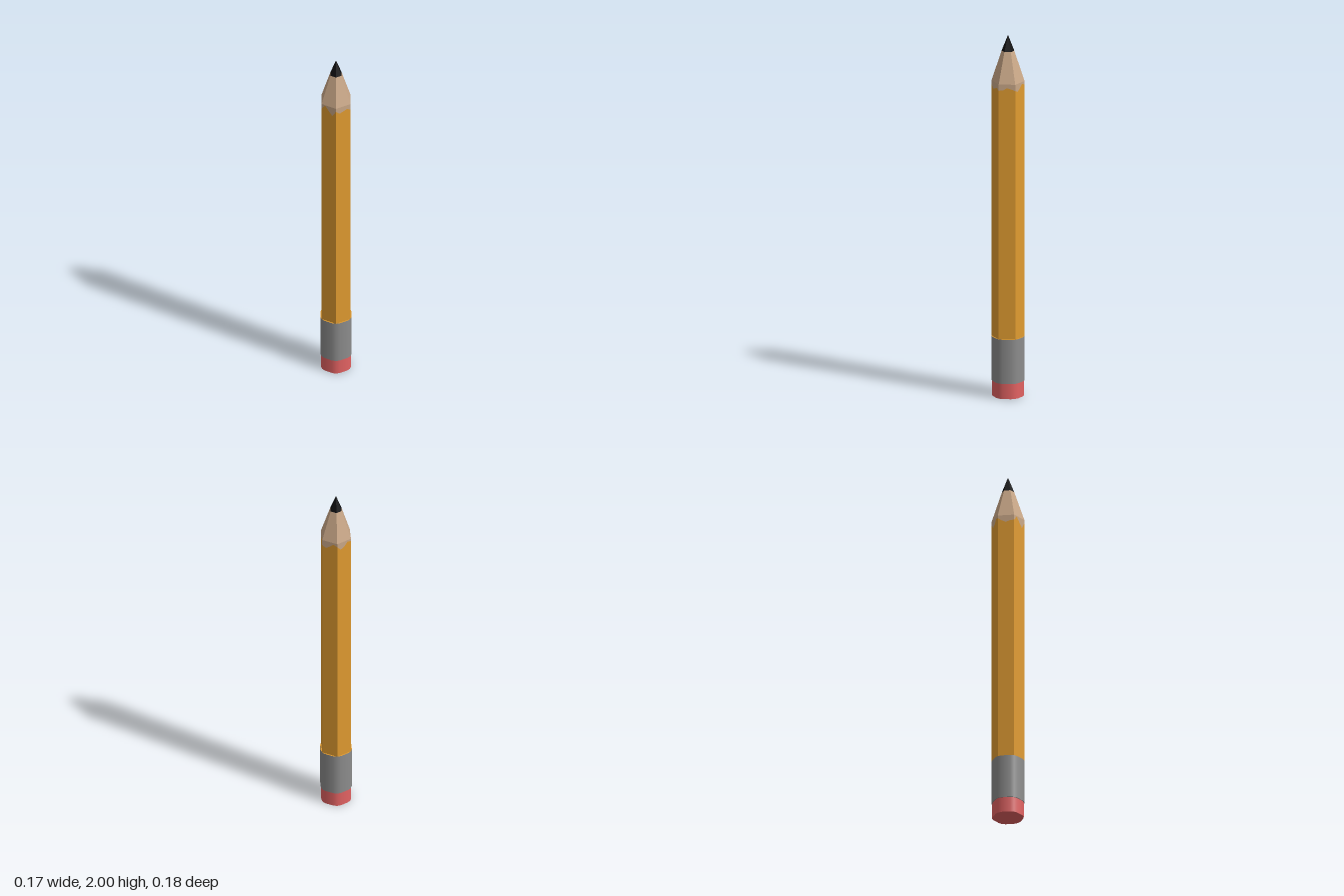
import * as THREE from 'three';

const paint = new THREE.MeshStandardMaterial({ name: 'orange paint', color: 0xe09b30 });
const wood = new THREE.MeshStandardMaterial({ name: 'bare wood', color: 0xcaa888 });
const graphite = new THREE.MeshStandardMaterial({ name: 'graphite', color: 0x0e0e10 });
const metal = new THREE.MeshStandardMaterial({ name: 'grey metal', color: 0x8c8c8c });
const rubber = new THREE.MeshStandardMaterial({ name: 'pink rubber', color: 0xe26262 });

const R = 0.0885;          // barrel corner radius
const STEPS = 4;           // points across each of the six flats
const BARREL_BOTTOM = 0.33, CONE_BOTTOM = 1.745, LEAD_BOTTOM = 1.912;

// Wavy edge where the paint was cut away, four heights per flat, starting at the front corner
const PAINT_EDGE = [
  1.725, 1.705, 1.712, 1.72,
  1.71, 1.712, 1.725, 1.718,
  1.71, 1.70, 1.715, 1.735,
  1.725, 1.70, 1.71, 1.735,
  1.73, 1.715, 1.705, 1.715,
  1.715, 1.742, 1.715, 1.69,
];

// Point on the hexagon outline; corners face front and back
function hexPoint(i) {
  const face = Math.floor(i / STEPS), t = (i % STEPS) / STEPS;
  const corner = (k) => new THREE.Vector2(Math.sin(k * Math.PI / 3), Math.cos(k * Math.PI / 3)).multiplyScalar(R);
  return corner(face).lerp(corner(face + 1), t);
}

// Six-sided wall between two height functions
function hexBand(bottom, top) {
  const positions = [];
  const n = 6 * STEPS;
  for (let i = 0; i < n; i++) {
    const j = (i + 1) % n;
    const p = hexPoint(i), q = hexPoint(j);
    const a = [p.x, bottom(i), p.y], b = [q.x, bottom(j), q.y];
    const c = [q.x, top(j), q.y], d = [p.x, top(i), p.y];
    positions.push(...a, ...b, ...c, ...a, ...c, ...d);
  }
  const geometry = new THREE.BufferGeometry();
  geometry.setAttribute('position', new THREE.Float32BufferAttribute(positions, 3));
  geometry.computeVertexNormals();
  return geometry;
}

// Hexagonal taper with flat faces
function hexTaper(topRadius, bottomRadius, y0, y1) {
  const geometry = new THREE.CylinderGeometry(topRadius, bottomRadius, y1 - y0, 6, 1, true).toNonIndexed();
  geometry.computeVertexNormals();
  return geometry.translate(0, (y0 + y1) / 2, 0);
}

// Smooth sleeve with a softened hexagon outline: six corners and a bulged flat between them
function sleeve(scale, y0, y1) {
  const geometry = new THREE.CylinderGeometry(1, 1, y1 - y0, 18);
  const pos = geometry.attributes.position;
  for (let i = 0; i < pos.count; i++) {
    const x = pos.getX(i), z = pos.getZ(i);
    if (Math.hypot(x, z) < 0.5) continue;
    const step = (Math.round(Math.atan2(x, z) / (Math.PI / 9)) + 18) % 18;
    const k = step % 3;
    const degrees = step * 20 + [0, -6, 6][k];
    const radius = scale * (k === 0 ? R : 0.0864);
    const angle = THREE.MathUtils.degToRad(degrees);
    pos.setXYZ(i, radius * Math.sin(angle), pos.getY(i), radius * Math.cos(angle));
  }
  return geometry.translate(0, (y0 + y1) / 2, 0);
}

export function createModel() {
  const pencil = new THREE.Group();
  pencil.name = 'pencil';
  const add = (name, geometry, material) => {
    const mesh = new THREE.Mesh(geometry, material);
    mesh.name = name;
    pencil.add(mesh);
  };

  // Eraser and its sleeve, whose upper rim is painted like the barrel
  add('eraser', sleeve(0.96, 0, 0.09), rubber);
  add('ferrule', sleeve(1, 0.085, BARREL_BOTTOM), [metal, paint, metal]);

  // Painted barrel and the strip of bare wood above its wavy edge
  const edge = (i) => PAINT_EDGE[i];
  add('barrel', hexBand(() => BARREL_BOTTOM, edge), paint);
  add('bareWoodStrip', hexBand(edge, () => CONE_BOTTOM), wood);

  // Sharpened end
  add('sharpenedWood', hexTaper(0.034, R, CONE_BOTTOM, LEAD_BOTTOM), wood);
  add('leadTip', hexTaper(0, 0.034, LEAD_BOTTOM, 2), graphite);

  return pencil;
}
